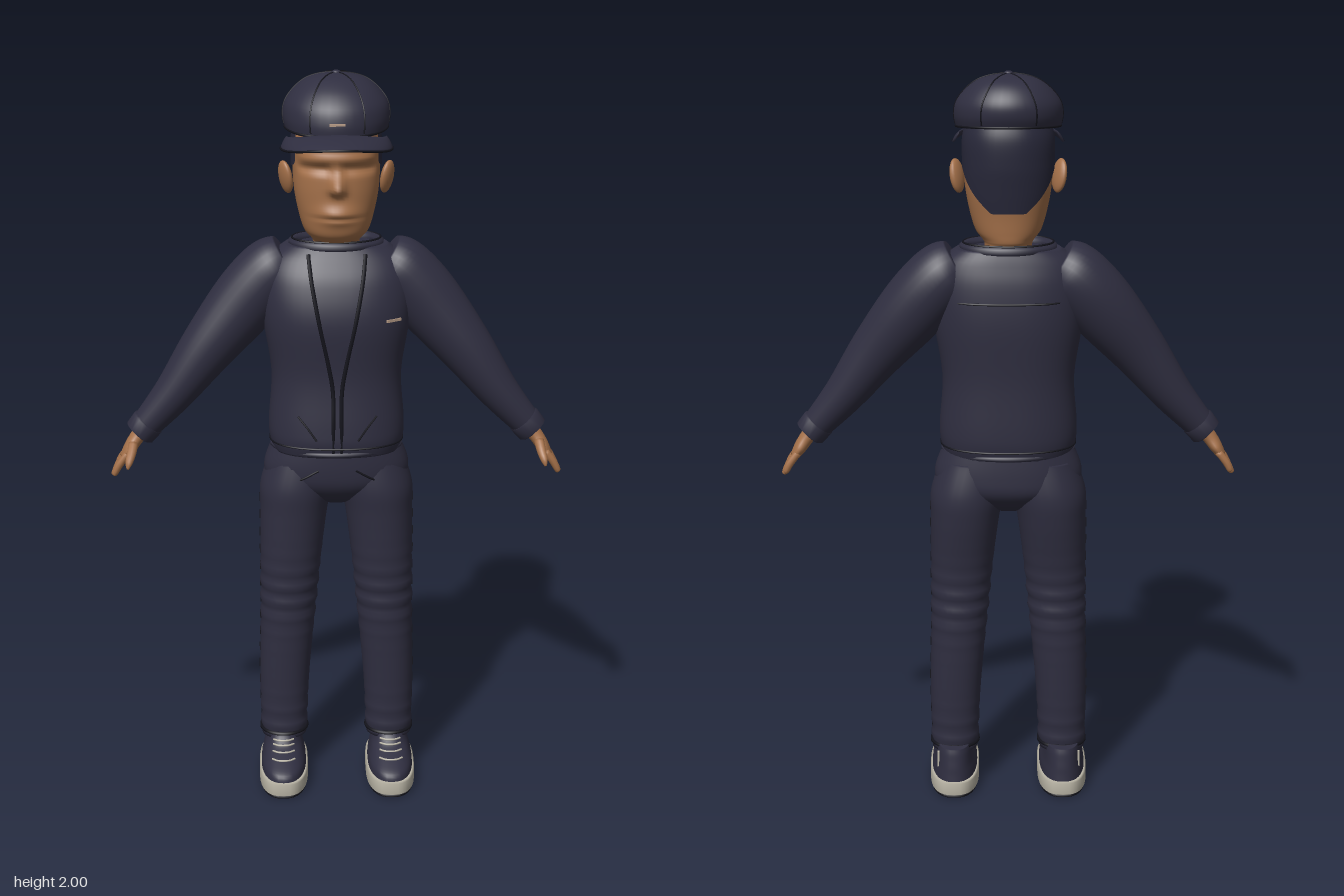
import * as THREE from 'three';

const mat = (name, color, side = THREE.FrontSide) => {
  const m = new THREE.MeshStandardMaterial({ color, side });
  m.name = name;
  return m;
};
const gauss = (v, mid, w) => Math.exp(-(((v - mid) / w) ** 2));

export function createModel() {
  const root = new THREE.Group();
  const navy = mat('navyCloth', 0x2f2e40);
  const seamMat = mat('blackStitching', 0x14141c);
  const hairMat = mat('darkHair', 0x28283a, THREE.DoubleSide);
  const skinMat = mat('skin', 0xa5714a);
  const white = mat('offWhiteRubber', 0xbab5a6);
  const tagMat = mat('tanTag', 0xb59a85);

  const add = (name, geo, m, parent = root) => {
    const mesh = new THREE.Mesh(geo, m);
    mesh.name = name;
    parent.add(mesh);
    return mesh;
  };
  const group = (name) => {
    const g = new THREE.Group();
    g.name = name;
    root.add(g);
    return g;
  };

  // Surface through rings of points; closed rings get end caps
  function skin(rings, closed = true) {
    const n = rings[0].length, pos = [], idx = [];
    rings.forEach((r) => r.forEach((p) => pos.push(p.x, p.y, p.z)));
    for (let i = 0; i < rings.length - 1; i++)
      for (let j = 0; j < (closed ? n : n - 1); j++) {
        const a = i * n + j, b = i * n + ((j + 1) % n);
        idx.push(a, b, a + n, b, b + n, a + n);
      }
    if (closed)
      [0, rings.length - 1].forEach((i) => {
        const mid = new THREE.Vector3();
        rings[i].forEach((p) => mid.addScaledVector(p, 1 / n));
        const c = pos.length / 3;
        pos.push(mid.x, mid.y, mid.z);
        for (let j = 0; j < n; j++) {
          const a = i * n + j, b = i * n + ((j + 1) % n);
          if (i) idx.push(c, a, b); else idx.push(c, b, a);
        }
      });
    const g = new THREE.BufferGeometry();
    g.setAttribute('position', new THREE.Float32BufferAttribute(pos, 3));
    g.setIndex(idx);
    g.computeVertexNormals();
    return g;
  }

  // Sections are [x, y, z, depth radius, width radius]; smooth them into many
  function dense(rows, sub = 5) {
    const out = [], cl = (i) => rows[Math.min(rows.length - 1, Math.max(0, i))];
    for (let i = 0; i < rows.length - 1; i++)
      for (let k = 0; k < sub; k++) {
        const t = k / sub;
        out.push(rows[i].map((p1, c) => {
          const p0 = cl(i - 1)[c], p2 = cl(i + 1)[c], p3 = cl(i + 2)[c];
          return p1 + 0.5 * t * (p2 - p0 + t * (2 * p0 - 5 * p1 + 4 * p2 - p3 + t * (3 * (p1 - p2) + p3 - p0)));
        }));
      }
    out.push(rows[rows.length - 1].slice());
    return out;
  }
  function ringAt(r, T, power, angles) {
    const u = new THREE.Vector3(0, 0, 1).addScaledVector(T, -T.z).normalize();
    const v = new THREE.Vector3().crossVectors(T, u);
    const pw = (s) => Math.sign(s) * Math.abs(s) ** (2 / power);
    return angles.map((t) => new THREE.Vector3(r[0], r[1], r[2])
      .addScaledVector(u, r[3] * pw(Math.cos(t))).addScaledVector(v, r[4] * pw(Math.sin(t))));
  }
  const circle = (n) => Array.from({ length: n }, (_, j) => (j / n) * Math.PI * 2);
  const up = new THREE.Vector3(0, 1, 0);
  const loft = (d, power = 2, n = 32) => skin(d.map((r) => ringAt(r, up, power, circle(n))));
  const limb = (d, n = 20) => skin(d.map((r, i) => {
    const a = d[Math.max(0, i - 1)], b = d[Math.min(d.length - 1, i + 1)];
    return ringAt(r, new THREE.Vector3(b[0] - a[0], b[1] - a[1], b[2] - a[2]).normalize(), 2, circle(n));
  }));
  const at = (d, y) => {
    const i = Math.max(1, d.findIndex((r) => r[1] >= y));
    const t = (y - d[i - 1][1]) / (d[i][1] - d[i - 1][1]);
    return d[i].map((v, c) => d[i - 1][c] + t * (v - d[i - 1][c]));
  };
  const tube = (pts, r, closed = false) => new THREE.TubeGeometry(
    new THREE.CatmullRomCurve3(pts, closed), pts.length * 6, r, 6, closed);
  // Stitch line on the front (+1) or back (-1) of a lofted part
  const seam = (name, d, power, pts, side = 1, r = 0.003) => add(name, tube(pts.map(([x, y]) => {
    const s = at(d, y), q = Math.min(1, Math.abs((x - s[0]) / s[4]));
    return new THREE.Vector3(x, y, s[2] + side * s[3] * (1 - q ** power) ** (1 / power));
  }), r), seamMat);
  const hoop = (y, z, rx, rz, x = 0) => circle(24).map((t) => new THREE.Vector3(x + rx * Math.sin(t), y, z + rz * Math.cos(t)));

  // Head and neck, with brow, eye hollows, nose and mouth pushed out of the loft
  const head = dense([[0, 1.5, -.06, .065, .065], [0, 1.55, -.06, .066, .062], [0, 1.567, -.05, .083, .068],
    [0, 1.59, -.042, .094, .086], [0, 1.635, -.042, .099, .1], [0, 1.7, -.045, .107, .112],
    [0, 1.77, -.05, .112, .115], [0, 1.84, -.05, .112, .113], [0, 1.9, -.05, .09, .09]], 10);
  const face = loft(head, 2.2, 72), fp = face.attributes.position;
  for (let i = 0; i < fp.count; i++) {
    const x = fp.getX(i), y = fp.getY(i), z = fp.getZ(i);
    if (z < 0) continue;
    const w = Math.min(1, z / 0.03), mouth = gauss(x, 0, .05);
    fp.setZ(i, z + w * (.036 * gauss(x, 0, .017) * gauss(y, 1.708, y > 1.708 ? .034 : .014)
      + .007 * gauss(y, 1.788, .012) - .012 * gauss(y, 1.76, .012) * (1 - gauss(x, 0, .015))
      + .017 * mouth * gauss(y, 1.638, .024) - .009 * mouth * gauss(y, 1.632, .006)));
  }
  face.computeVertexNormals();
  add('head', face, skinMat);
  const hairline = [[1.645, 2.75], [1.68, 2.4], [1.72, 2.05], [1.75, 1.75], [1.765, 1.2], [1.785, 1.1], [1.83, 1.1], [1.87, 1.15]];
  add('hair', skin(dense(hairline.map(([y, a]) => [0, y, a])).map(([, y, a]) => {
    const r = at(head, y);
    const angles = Array.from({ length: 33 }, (_, j) => a + (j / 32) * 2 * (Math.PI - a));
    return ringAt([0, y, r[2], r[3] + .006, r[4] + .005], up, 2.2, angles);
  }), false), hairMat);
  for (const s of [1, -1]) {
    const ear = add('ear', new THREE.SphereGeometry(1, 20, 14), skinMat);
    ear.scale.set(.014, .045, .03);
    ear.position.set(s * .133, 1.727, -.032);
    ear.rotation.set(.1, s * -.5, s * -.15);
  }

  // Cap: crown, panel seams, button and drooping brim
  const crown = dense([[0, 1.855, -.05, .137, .134], [0, 1.885, -.055, .143, .14], [0, 1.92, -.061, .137, .135],
    [0, 1.953, -.07, .113, .112], [0, 1.978, -.076, .078, .08], [0, 1.99, -.075, .042, .044], [0, 1.994, -.07, .008, .008]]);
  const tilt = (p) => p.setY(p.y - .09 * (p.z + .05) * Math.max(0, (1.95 - p.y) / .1));
  add('capCrown', skin(crown.map((r) => ringAt(r, up, 2, circle(40)).map(tilt))), navy);
  for (let k = 0; k < 6; k++)
    add('capPanelSeam', tube(crown.slice(2).filter((_, i) => i % 3 === 0)
      .map((r) => tilt(ringAt(r, up, 2, [(k + .5) * Math.PI / 3])[0])), .0022), seamMat);
  add('capRimSeam', tube(ringAt(crown[1], up, 2, circle(32)).map(tilt), .003, true), seamMat);
  const button = add('capButton', new THREE.SphereGeometry(.012, 14, 8), navy);
  button.scale.y = .6;
  button.position.set(0, 1.993, -.065);
  const brim = [], brimEdge = [];
  for (let i = 0; i <= 32; i++) {
    const a = (i / 32 - .5) * 3.1, s = Math.sin(a), c = Math.cos(a);
    const pt = (v, dy) => {
      const x = s * (.128 + .017 * v), z = (1 - v) * (-.02 + .1 * c) + v * .197 * c;
      return new THREE.Vector3(x, 1.853 - .02 * v - 1.1 * x * x + dy, z);
    };
    brim.push(circle(12).map((t) => pt(.5 + .5 * Math.cos(t), -.007 * Math.sin(t))));
    brimEdge.push(pt(1, 0));
  }
  add('capBrim', skin(brim), navy);
  add('capBrimEdge', tube(brimEdge, .003), seamMat);
  add('capTag', new THREE.BoxGeometry(.04, .006, .006), tagMat).position.set(0, 1.88, .088);

  // Jacket body, collar, zip and stitching
  const torso = dense([[0, .985, -.04, .122, .172], [0, 1.02, -.04, .13, .182], [0, 1.07, -.042, .13, .184],
    [0, 1.2, -.046, .125, .176], [0, 1.35, -.045, .135, .198], [0, 1.45, -.052, .122, .2],
    [0, 1.51, -.06, .1, .18], [0, 1.546, -.066, .082, .135]]);
  add('jacketBody', loft(torso, 2.4, 48), navy);
  add('jacketCollar', tube(hoop(1.547, -.065, .115, .08), .014, true), navy);
  add('jacketCollarSeam', tube(hoop(1.56, -.065, .118, .083), .003, true), seamMat);
  add('jacketHem', tube(hoop(.995, -.04, .174, .124), .008, true), navy);
  add('jacketHemSeam', tube(ringAt(at(torso, 1.012), up, 2.4, circle(40)), .0028, true), seamMat);
  for (const s of [1, -1]) {
    seam('zip', torso, 2.4, [[.075, 1.53], [.068, 1.47], [.05, 1.37], [.025, 1.25], [.012, 1.17], [.011, 1.08], [.011, .99]].map(([x, y]) => [s * x, y]), 1, .0055);
    seam('jacketPocketSeam', torso, 2.4, [[s * .055, 1.035], [s * .08, 1.07], [s * .105, 1.1]]);
  }
  seam('backYokeSeam', torso, 2.4, [-.17, -.1, 0, .1, .17].map((x) => [x, 1.415]), -1);
  const chest = at(torso, 1.36);
  const tag = add('chestTag', new THREE.BoxGeometry(.046, .007, .006), tagMat);
  tag.position.set(.15, 1.36, chest[2] + chest[3] * (1 - (.15 / chest[4]) ** 2.4) ** (1 / 2.4));
  tag.rotation.y = .6;

  // Sleeves and hands
  for (const s of [1, -1]) {
    const side = (rows) => rows.map(([x, ...rest]) => [s * x, ...rest]);
    const arm = group(s > 0 ? 'leftArm' : 'rightArm');
    const sleeve = dense(side([[.13, 1.5, -.065, .07, .07], [.16, 1.48, -.065, .088, .086], [.2, 1.44, -.065, .092, .092],
      [.26, 1.37, -.058, .086, .09], [.35, 1.26, -.042, .072, .074], [.44, 1.14, -.032, .058, .055], [.525, 1.043, -.025, .041, .04]]));
    add('sleeve', limb(sleeve, 28), navy, arm);
    add('cuff', limb(side([[.51, 1.06, -.025, .041, .04], [.512, 1.058, -.025, .047, .046],
      [.535, 1.03, -.025, .045, .044], [.537, 1.028, -.025, .038, .037]])), navy, arm);
    add('palm', limb(dense(side([[.525, 1.04, -.022, .026, .022], [.545, 1.015, -.02, .03, .02],
      [.562, .99, -.018, .04, .018], [.578, .965, -.018, .036, .013]]))), skinMat, arm);
    [-.047, -.027, -.007, .012].forEach((z, i) => {
      const len = [.8, .98, 1, .9][i], ex = .572 + .036 * len, ey = .97 - .052 * len;
      add('finger', limb(dense(side([[.568, .978, z, .01, .01], [.59, .95, z * 1.06, .0105, .0105],
        [ex, ey, z * 1.1, .008, .008], [ex + .003, ey - .005, z * 1.1, .002, .002]]), 3), 10), skinMat, arm);
    });
    add('thumb', limb(dense(side([[.552, 1.005, .005, .014, .014], [.556, .985, .03, .013, .013],
      [.562, .965, .05, .01, .01], [.565, .95, .058, .003, .003]]), 3), 10), skinMat, arm);
  }

  // Trousers: hips, then legs with soft folds
  const hips = dense([[0, .825, -.05, .04, .04], [0, .85, -.05, .08, .11], [0, .89, -.051, .112, .185],
    [0, .94, -.048, .118, .198], [0, 1.01, -.045, .115, .172]]);
  add('hips', loft(hips, 2.3, 40), navy);
  for (const s of [1, -1]) {
    const leg = group(s > 0 ? 'leftLeg' : 'rightLeg');
    const rows = dense([[.15, .12, -.045, .066, .064], [.147, .3, -.046, .074, .07], [.136, .5, -.045, .083, .077],
      [.128, .65, -.042, .092, .084], [.118, .8, -.05, .108, .093], [.109, .88, -.051, .113, .1], [.09, .97, -.05, .1, .09]], 12);
    rows.forEach((r) => {
      r[0] *= s;
      const fold = .003 * Math.sin(r[1] * 130) * (gauss(r[1], .17, .07) + gauss(r[1], .55, .1));
      r[3] += fold;
      r[4] += fold;
    });
    add('trouserLeg', loft(rows, 2.2, 32), navy, leg);
    add('trouserHem', tube(hoop(.135, -.045, .064, .066, s * .15), .006, true), seamMat, leg);
    for (let y = .18; y < .86; y += .05) {
      const r = at(rows, y);
      add('sideStitch', new THREE.BoxGeometry(.004, .025, .005), seamMat, leg).position.set(r[0] + s * r[4], y, r[2]);
    }
    seam('trouserPocketSeam', hips, 2.3, [[s * .18, .925], [s * .155, .89], [s * .1, .915], [s * .05, .945]]);

    // Shoe
    const shoe = group(s > 0 ? 'leftShoe' : 'rightShoe'), x = s * .152;
    const slab = (y0, y1, rx, rz) => loft([[x, y0, 0, rz - .004, rx - .004], [x, y0 + .003, 0, rz, rx],
      [x, y1 - .003, 0, rz, rx], [x, y1, 0, rz - .005, rx - .005]], 2.7, 40);
    add('outsole', slab(0, .012, .066, .156), seamMat, shoe);
    add('midsole', slab(.009, .048, .069, .16), white, shoe);
    const upper = dense([[x, .042, 0, .153, .064], [x, .065, -.003, .147, .062], [x, .085, -.022, .126, .056],
      [x, .105, -.046, .099, .051], [x, .125, -.056, .086, .048], [x, .14, -.058, .08, .045]]);
    add('shoeUpper', loft(upper, 2.4, 36), navy, shoe);
    [.088, .099, .11, .12].forEach((y) => {
      const r = at(upper, y);
      add('lace', tube([-.55, -.25, 0, .25, .55].map((t) => ringAt(r, up, 2.4, [t])[0]), .003), white, shoe);
    });
    const r = at(upper, .1);
    add('heelStripe', new THREE.BoxGeometry(.006, .045, .007), white, shoe).position.set(x + s * (r[4] - .008), .1, -.11);
  }
  return root;
}
